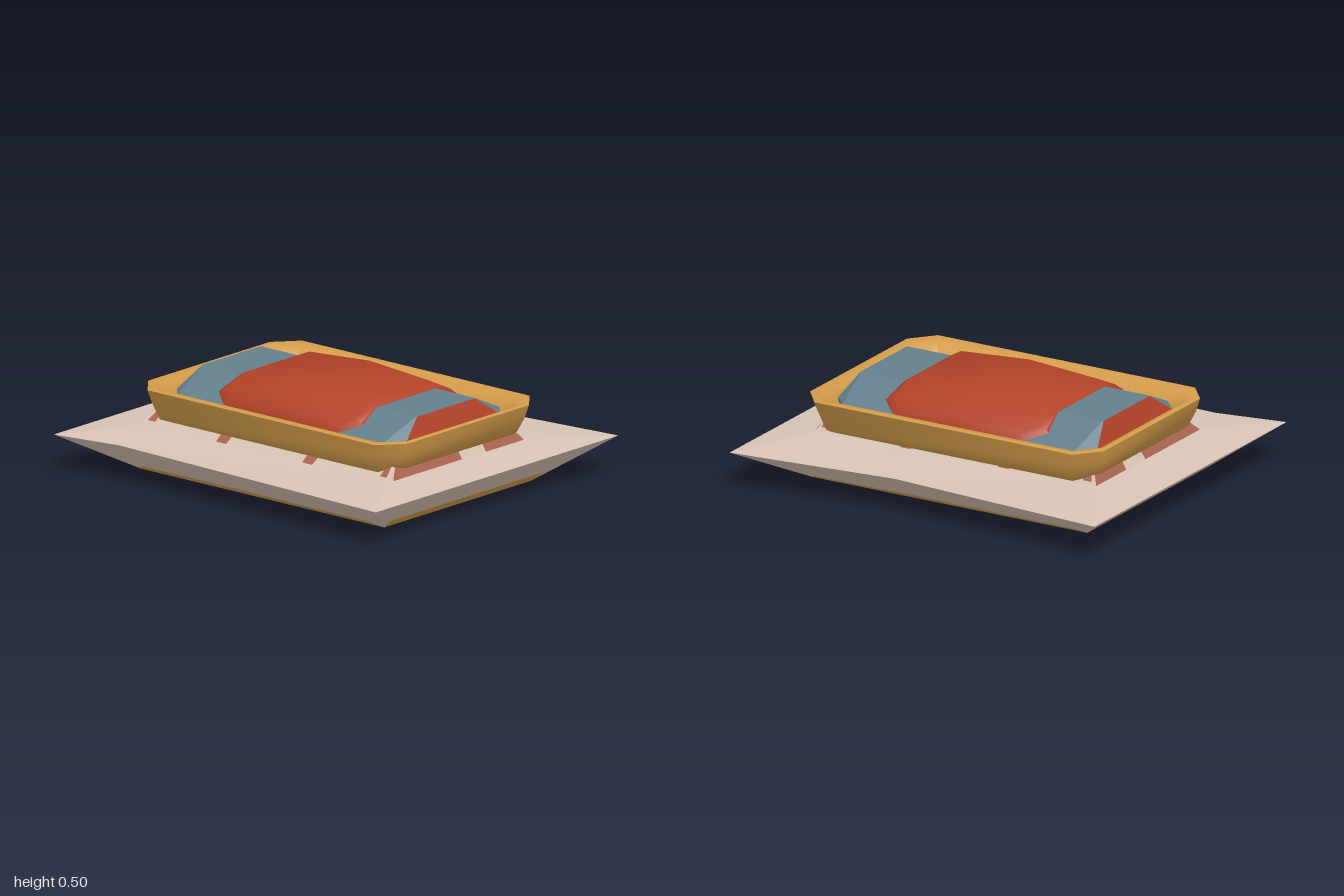
import * as THREE from 'three';
import { toCreasedNormals } from 'three/addons/utils/BufferGeometryUtils.js';

const mat = (name, color, side = THREE.FrontSide) => {
  const m = new THREE.MeshStandardMaterial({ color, side });
  m.name = name;
  return m;
};

// Skin a row of closed loops; edges flagged by alt(i) go to the second material group
function loft(loops, { startCap = false, endCap = false, crease = 0.01, alt = () => false } = {}) {
  const main = [], other = [];
  const n = loops[0].length;
  const centre = (l) => l.reduce((s, p) => s.add(p), new THREE.Vector3()).divideScalar(n);
  const tri = (out, ...ps) => ps.forEach((p) => out.push(p.x, p.y, p.z));
  for (let k = 0; k + 1 < loops.length; k++) {
    for (let i = 0; i < n; i++) {
      const j = (i + 1) % n, out = alt(i) ? other : main;
      const a = loops[k], b = loops[k + 1];
      if (a[i].distanceTo(a[j]) > 1e-6) tri(out, a[i], a[j], b[j]);
      if (a[i].distanceTo(b[i]) > 1e-6) tri(out, a[i], b[j], b[i]);
    }
  }
  const cap = (l, flip) => {
    const c = centre(l);
    l.forEach((p, i) => {
      const q = l[(i + 1) % n];
      flip ? tri(main, c, q, p) : tri(main, c, p, q);
    });
  };
  if (startCap) cap(loops[0], true);
  if (endCap) cap(loops[loops.length - 1], false);
  const g = new THREE.BufferGeometry();
  g.setAttribute('position', new THREE.Float32BufferAttribute([...main, ...other], 3));
  g.computeVertexNormals();
  const r = toCreasedNormals(g, crease);
  if (other.length) {
    r.addGroup(0, main.length / 3, 0);
    r.addGroup(main.length / 3, other.length / 3, 1);
  }
  return r;
}

const V = (x, y, z) => new THREE.Vector3(x, y, z);

export function createModel() {
  const group = new THREE.Group();
  const beige = mat('beige', 0xd8c4b6), gold = mat('gold', 0xd49c4a);
  const red = mat('red', 0xb24228), blue = mat('slate blue', 0x63808c);
  const pink = mat('dusty pink', 0xa8644f, THREE.DoubleSide);
  const add = (name, geometry, material, parent = group) => {
    const m = new THREE.Mesh(geometry, material);
    m.name = name;
    parent.add(m);
    return m;
  };

  // Rectangular loop with extra points near the corners and one notch on front and back
  const notch = [[0.175, 0.062], [0.5, 0], [0.425, 0.088], [0.5, 0]];
  const rect = (x0, x1, z0, z1, y, notched = false) => {
    const c = [V(x0, y, z1), V(x1, y, z1), V(x1, y, z0), V(x0, y, z0)];
    return c.flatMap((a, s) => [0, 0.05, notch[s][0], 0.95].map((f, i) => {
      const p = a.clone().lerp(c[(s + 1) % 4], f);
      if (notched && s % 2 === 0) {
        const t = f <= notch[s][0] ? f / notch[s][0] : (1 - f) / (1 - notch[s][0]);
        p.z += (s === 0 ? -1 : 1) * notch[s][1] * t;
      }
      return p;
    }));
  };

  // Flared tray: gold foot, beige body
  const foot = rect(-0.74, 0.77, -0.5, 0.54, 0);
  const lip = rect(-1, 1, -0.862, 0.862, 0.187, true);
  const shoulder = rect(-0.75, 0.78, -0.45, 0.53, 0.215);
  const band = foot.map((p, i) => {
    const t = i % 4 === 0 ? 0 : Math.floor(i / 4) % 2 ? 0.26 : 0.16;
    return p.clone().lerp(lip[i], t);
  });
  add('trayFoot', loft([foot, band], { startCap: true }), gold);
  add('trayBody', loft([band, lip, shoulder]), beige);
  const wallTop = rect(-0.705, 0.735, -0.4, 0.43, 0.285);
  add('bodyWall', loft([shoulder, wallTop], { endCap: true }), beige);

  // Painted patches lying on the sloping wall
  const patch = (name, a, b, c, d) => {
    const g = new THREE.BufferGeometry().setFromPoints([a, b, c, a, c, d]);
    g.computeVertexNormals();
    add(name, g, pink);
  };
  for (const [side, low, high] of [['right', -0.753, -0.708], ['left', 0.783, 0.738]]) {
    for (const [z0, z1, u0, u1] of [[0.49, 0, 0.42, 0], [-0.17, -0.44, -0.17, -0.39]]) {
      patch(`${side}WallPatch`, V(low, 0.217, z0), V(low, 0.217, z1), V(high, 0.285, u1), V(high, 0.285, u0));
    }
  }
  for (const [end, low, high] of [['front', 0.532, 0.433], ['back', -0.452, -0.403]]) {
    for (const x of [-0.25, 0.285]) {
      patch(`${end}WallPatch`, V(x - 0.03, 0.217, low), V(x + 0.03, 0.217, low),
        V(x + 0.04, 0.285, high), V(x - 0.04, 0.285, high));
    }
    for (const [x0, x1] of [[-0.725, -0.68], [0.755, 0.715]]) {
      const z = low + (high - low) * 0.25;
      patch(`${end}CornerPatch`, V(x0, 0.232, z), V(x1, 0.232, z), V(x1, 0.285, high), V(x0 * 0.975, 0.285, high));
    }
  }

  const upper = new THREE.Group();
  upper.name = 'upperParts';
  upper.position.x = 0.016;
  group.add(upper);

  // Chamfered rim ring: [inset fraction, height]
  const rimProfile = [[1.2, 0.262], [0.6, 0.232], [0.4, 0.248], [0.14, 0.335], [0, 0.394],
    [0.1, 0.4], [0.5, 0.387], [1, 0.335], [1.1, 0.262]];
  const rimLoops = rimProfile.map(([f, y]) => {
    const a = 0.805 - 0.095 * f, b = 0.552 - 0.13 * f;
    const cx = 0.1 - 0.02 * f, cz = 0.12 - 0.03 * f;
    const up = y < 0.26 ? y + 0.02 : y;
    return [V(-a + cx, y, b), V(a - cx, y, b), V(a, up, b - cz), V(a, up, -b + cz),
      V(a - cx, y, -b), V(-a + cx, y, -b), V(-a, up, -b + cz), V(-a, up, b - cz)];
  });
  add('rimRing', loft(rimLoops, { crease: 0.9 }), gold, upper);

  // Floor inside the rim
  const floor = add('innerFloor', new THREE.BoxGeometry(1.4, 0.04, 0.8), red, upper);
  floor.position.y = 0.3;

  // Blue shoulder blocks with red outer faces
  for (const s of [1, -1]) {
    const loop = (y, inner, mid, outer, zEnd, zMid) => {
      const l = [[inner, zEnd], [mid, zEnd], [outer, zMid], [outer, -zMid], [mid, -zEnd], [inner, -zEnd]]
        .map(([x, z]) => V(s * x, y, z));
      return s > 0 ? l : l.reverse();
    };
    const loops = [loop(0.27, 0.36, 0.635, 0.71, 0.42, 0.335), loop(0.355, 0.36, 0.635, 0.71, 0.42, 0.335),
      loop(0.45, 0.36, 0.662, 0.666, 0.21, 0.205)];
    add(s > 0 ? 'leftShoulder' : 'rightShoulder',
      loft(loops, { endCap: true, alt: (i) => i === 2 }), [blue, red], upper);
  }

  // Red domed centre: stations along z as [z, height factor, width factor]
  const half = [[0.48, 0.28], [0.46, 0.36], [0.438, 0.42], [0.415, 0.455], [0.375, 0.477]];
  const stations = [[-0.428, 0.3, 0.8], [-0.405, 0.53, 0.87], [-0.34, 0.7, 1.05], [-0.22, 1, 1],
    [0.22, 1, 1], [0.34, 0.7, 1.05], [0.4, 0.53, 0.87], [0.418, 0.3, 0.8]];
  const domeLoops = stations.map(([z, k, w]) => [
    ...half, [0, 0.504], ...half.map(([x, y]) => [-x, y]).reverse(),
  ].map(([x, y]) => V(x * w, 0.28 + (y - 0.28) * k, z)));
  add('domedCentre', loft(domeLoops, { startCap: true, endCap: true, crease: 0.7 }), red, upper);

  return group;
}
